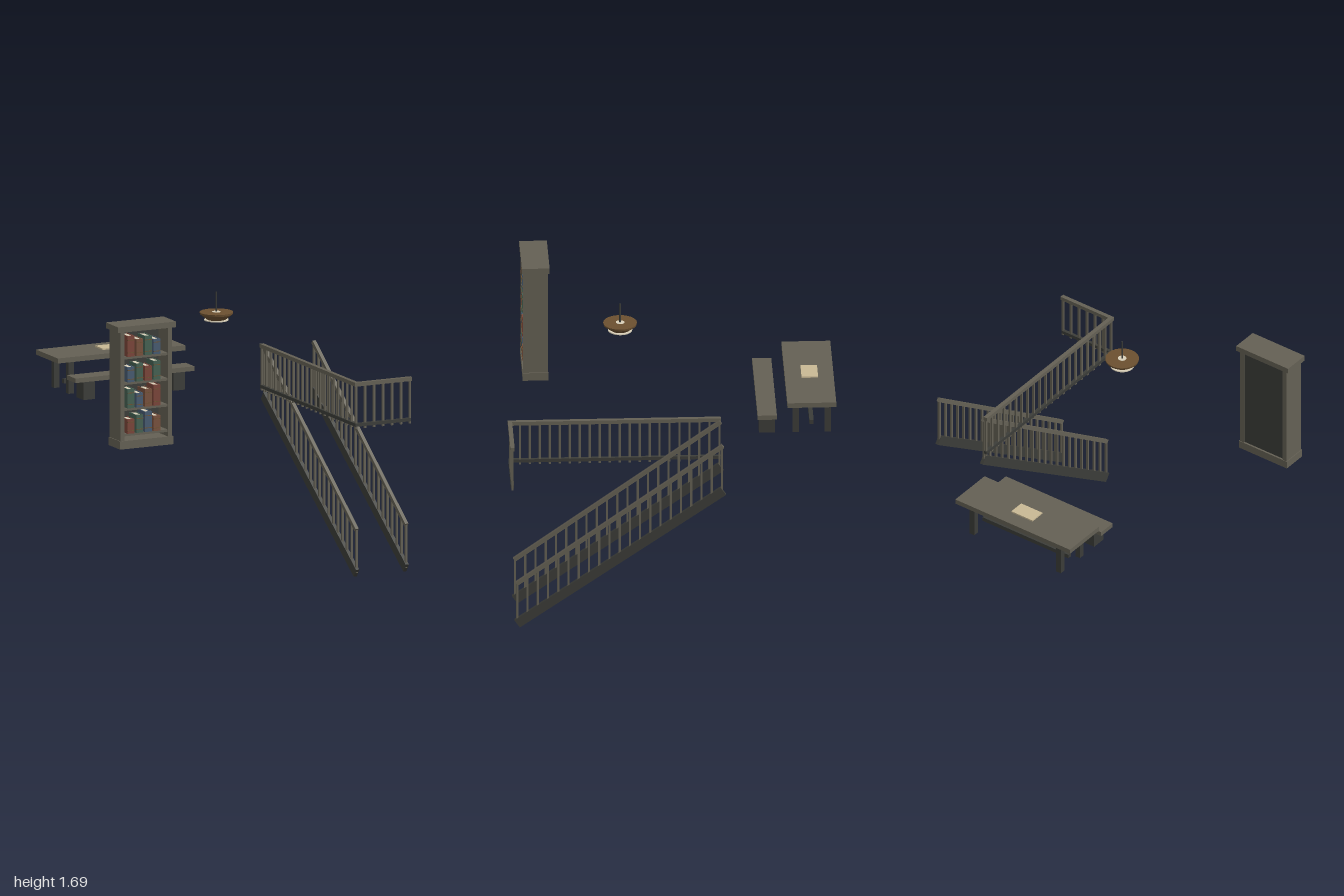
import * as THREE from 'three';

const mat = (color) => new THREE.MeshStandardMaterial({ color, roughness: 0.9 });
const wood = mat(0x646054);
const darkWood = mat(0x3b3c38);
const brass = mat(0x6b5030);
const cream = mat(0xd8cfb8);
const paper = mat(0xc8b894);
const covers = { r: mat(0x7a4438), g: mat(0x446052), b: mat(0x465a70), o: mat(0x78503c) };

// Box given by its min and max on each axis
function box(parent, name, material, [x0, x1], [y0, y1], [z0, z1]) {
  const m = new THREE.Mesh(new THREE.BoxGeometry(x1 - x0, y1 - y0, z1 - z0), material);
  m.position.set((x0 + x1) / 2, (y0 + y1) / 2, (z0 + z1) / 2);
  m.name = name;
  parent.add(m);
  return m;
}

function group(parent, name) {
  const g = new THREE.Group();
  g.name = name;
  parent.add(g);
  return g;
}

const FLOOR = 0.92;

function addBookcase(root) {
  const g = group(root, 'bookcase');
  box(g, 'cornice', wood, [-0.96, -0.57], [1.64, 1.675], [0.693, 0.86]);
  box(g, 'plinth', wood, [-0.945, -0.585], [FLOOR, 0.97], [0.7, 0.855]);
  box(g, 'leftSide', wood, [-0.94, -0.912], [0.97, 1.64], [0.703, 0.852]);
  box(g, 'rightSide', wood, [-0.62, -0.592], [0.97, 1.64], [0.703, 0.852]);
  box(g, 'backPanel', darkWood, [-0.912, -0.62], [0.97, 1.64], [0.712, 0.722]);

  // Each row: shelf height, then cover colour and book height
  const rows = [
    [1.012, 'r', 0.088, 'g', 0.11, 'b', 0.125, 'o', 0.094],
    [1.168, 'g', 0.118, 'b', 0.088, 'o', 0.108, 'r', 0.128],
    [1.328, 'b', 0.093, 'g', 0.11, 'r', 0.09, 'g', 0.115],
    [1.485, 'r', 0.128, 'o', 0.103, 'g', 0.118, 'b', 0.093],
  ];
  for (const [y, ...books] of rows) {
    box(g, 'shelf', wood, [-0.912, -0.62], [y - 0.015, y], [0.722, 0.845]);
    for (let i = 0; i < 4; i++) {
      const x = -0.893 + i * 0.0585, w = 0.046;
      const c = covers[books[i * 2]], h = books[i * 2 + 1];
      const b = group(g, 'book');
      box(b, 'spine', c, [x, x + w], [y, y + h], [0.843, 0.853]);
      box(b, 'frontCover', c, [x, x + 0.006], [y, y + h], [0.755, 0.843]);
      box(b, 'backCover', c, [x + w - 0.006, x + w], [y, y + h], [0.755, 0.843]);
      box(b, 'pages', cream, [x + 0.006, x + w - 0.006], [y + 0.003, y + h - 0.004], [0.76, 0.843]);
      for (const t of [0.2, 0.8]) {
        box(b, 'spineBand', brass, [x, x + w], [y + h * t - 0.002, y + h * t + 0.002], [0.85, 0.856]);
      }
    }
  }
}

function addTableAndBench(root) {
  const t = group(root, 'table');
  box(t, 'tableTop', wood, [-0.58, 0.28], [1.122, 1.153], [-1, -0.705]);
  for (const x of [-0.49, 0.16]) {
    for (const z of [-0.97, -0.777]) {
      box(t, 'tableLeg', darkWood, [x, x + 0.035], [FLOOR, 1.122], [z, z + 0.037]);
    }
  }
  box(t, 'stretcher', darkWood, [-0.47, 0.175], [0.963, 0.989], [-0.868, -0.842]);
  box(t, 'paperSheet', paper, [-0.228, -0.07], [1.153, 1.162], [-0.905, -0.805]);

  const b = group(root, 'bench');
  box(b, 'benchSeat', wood, [-0.55, 0.252], [1.032, 1.06], [-0.643, -0.527]);
  for (const x of [-0.49, 0.117]) {
    box(b, 'benchLeg', darkWood, [x, x + 0.077], [FLOOR, 1.032], [-0.633, -0.537]);
  }
}

function addLamp(root) {
  const g = group(root, 'hangingLamp');
  g.position.set(-0.012, 0, 0.292);
  const disc = (name, material, rTop, rBottom, y0, y1, sides = 24) => {
    const m = new THREE.Mesh(new THREE.CylinderGeometry(rTop, rBottom, y1 - y0, sides), material);
    m.position.y = (y0 + y1) / 2;
    m.name = name;
    g.add(m);
  };
  disc('rod', darkWood, 0.005, 0.005, 1.57, 1.7, 8);
  disc('collar', cream, 0.026, 0.026, 1.573, 1.577);
  disc('rim', brass, 0.102, 0.1, 1.563, 1.575);
  disc('bowl', brass, 0.1, 0.058, 1.53, 1.563);
  disc('diffuser', cream, 0.074, 0.074, 1.524, 1.53);
}

// Sloping bar from (z0, y0) to (z1, y1)
function slopedBar(parent, name, material, x, z0, y0, z1, y1, width, depth) {
  const m = new THREE.Mesh(
    new THREE.BoxGeometry(width, depth, Math.hypot(z1 - z0, y1 - y0)), material);
  m.position.set(x, (y0 + y1) / 2, (z0 + z1) / 2);
  m.rotation.x = Math.atan2(y1 - y0, z0 - z1);
  m.name = name;
  parent.add(m);
}

function addStairRailing(root, x) {
  const g = group(root, 'stairRailing');
  slopedBar(g, 'stringer', darkWood, x, 0.954, 0.032, -0.29, 0.893, 0.022, 0.058);
  slopedBar(g, 'handrail', wood, x, 0.957, 0.297, -0.288, 1.192, 0.022, 0.024);
  const n = 20, h = 0.0065;
  for (let i = 0; i <= n; i++) {
    const t = i / n, z = 0.952 - t * 1.234;
    box(g, 'baluster', wood, [x - h, x + h], [0.034 + t * 0.856, 0.3 + t * 0.888], [z - h, z + h]);
  }
}

function addLandingRailing(root) {
  const g = group(root, 'landingRailing');
  const h = 0.0065, xs = 0.584, zf = 0.982;
  // Long side
  box(g, 'sideHandrail', wood, [0.571, 0.597], [1.19, 1.214], [-0.29, 0.995]);
  box(g, 'sideBottomRail', darkWood, [0.574, 0.594], [0.942, 0.962], [-0.29, 0.99]);
  for (let i = 0; i <= 21; i++) {
    const z = zf - i * 0.0602;
    box(g, 'baluster', wood, [xs - h, xs + h], [0.928, 1.19], [z - h, z + h]);
  }
  // Short front
  box(g, 'frontHandrail', wood, [0.597, 0.955], [1.19, 1.214], [0.969, 0.995]);
  box(g, 'frontBottomRail', darkWood, [0.594, 0.95], [0.942, 0.962], [0.972, 0.992]);
  for (let i = 1; i <= 6; i++) {
    const x = xs + i * 0.0602;
    box(g, 'baluster', wood, [x - h, x + h], [0.928, 1.19], [zf - h, zf + h]);
  }
}

export function createModel() {
  const root = new THREE.Group();
  root.name = 'interiorFurnishings';
  addBookcase(root);
  addTableAndBench(root);
  addLamp(root);
  for (const x of [0.6, 0.935]) addStairRailing(root, x);
  addLandingRailing(root);
  return root;
}
